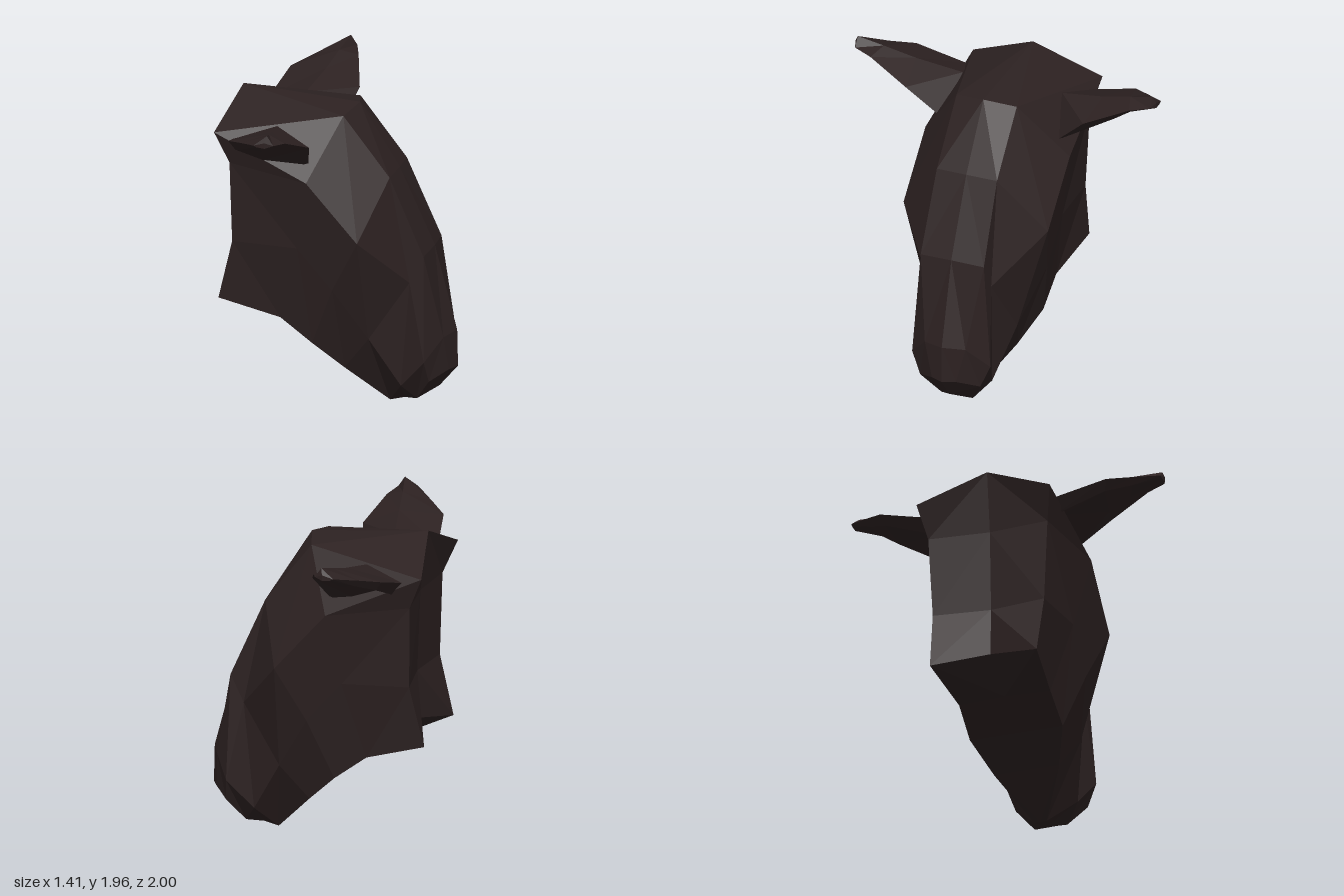
import * as THREE from 'three';

// Skins a grid of sections; side = -1 mirrors it across z = 0.
function loft(sections, side, { closed = false, tip = null } = {}) {
  const pos = [];
  const tri = (a, b, c) => {
    for (const p of side > 0 ? [a, b, c] : [a, c, b]) pos.push(p[0], p[1], p[2] * side);
  };
  const n = sections[0].length;
  const spans = closed ? n : n - 1;
  for (let i = 0; i < sections.length - 1; i++) {
    for (let j = 0; j < spans; j++) {
      const k = (j + 1) % n;
      const a = sections[i][j], b = sections[i + 1][j];
      const c = sections[i + 1][k], d = sections[i][k];
      tri(a, d, c);
      tri(a, c, b);
    }
  }
  // Close the last section with a fan
  if (tip) {
    const last = sections[sections.length - 1];
    for (let j = 0; j < spans; j++) tri(last[j], last[(j + 1) % n], tip);
  }
  const geo = new THREE.BufferGeometry();
  geo.setAttribute('position', new THREE.Float32BufferAttribute(pos, 3));
  geo.computeVertexNormals();
  return geo;
}

export function createModel() {
  const model = new THREE.Group();
  model.name = 'animalHead';
  const hide = new THREE.MeshStandardMaterial({ color: 0x2c2121, flatShading: true, side: THREE.DoubleSide });
  hide.name = 'darkBrownHide';

  // Half sections from the neck to the nose, each from top centre to bottom centre
  const head = [
    [[-0.64, 1.94, 0], [-0.71, 1.76, 0.43], [-0.625, 1.56, 0.385], [-0.615, 1.05, 0.36], [-0.705, 0.675, 0.345], [-0.58, 0.75, 0]],
    [[0.09, 1.885, 0], [0.04, 1.855, 0.2], [-0.12, 1.5, 0.48], [-0.2, 1.05, 0.395], [-0.33, 0.565, 0.295], [-0.33, 0.575, 0]],
    [[0.34, 1.49, 0], [0.33, 1.485, 0.2], [0.2, 1.14, 0.48], [0.02, 0.8, 0.395], [-0.13, 0.42, 0.3], [-0.13, 0.42, 0]],
    [[0.56, 1.01, 0], [0.545, 1.0, 0.21], [0.46, 0.83, 0.22], [0.22, 0.47, 0.285], [0.05, 0.25, 0.21], [0.05, 0.25, 0]],
    [[0.70, 0.48, 0], [0.65, 0.47, 0.135], [0.56, 0.34, 0.26], [0.4, 0.16, 0.2], [0.29, 0.01, 0.04], [0.29, 0.005, 0]],
    [[0.705, 0.25, 0], [0.67, 0.25, 0.08], [0.575, 0.2, 0.2], [0.475, 0.055, 0.105], [0.38, 0.03, 0.03], [0.38, 0.028, 0]],
  ];
  // Back of the neck: its outer edge and its centre line
  const rim = head[0].slice(1, 5);
  const spine = [[-0.64, 1.94, 0], [-0.59, 1.56, 0], [-0.57, 1.05, 0], [-0.58, 0.75, 0]];

  // Ear rings from root to tip: rear, top, front, underside, rear lower edge
  const ear = [
    [[-0.59, 1.725, 0.41], [-0.34, 1.8, 0.33], [-0.13, 1.59, 0.39], [-0.35, 1.72, 0.38], [-0.53, 1.64, 0.4]],
    [[-0.54, 1.82, 0.73], [-0.29, 1.86, 0.62], [-0.07, 1.77, 0.59], [-0.34, 1.70, 0.68], [-0.5, 1.76, 0.71]],
    [[-0.43, 1.86, 0.86], [-0.26, 1.915, 0.82], [-0.15, 1.88, 0.86], [-0.3, 1.79, 0.80], [-0.4, 1.82, 0.85]],
    [[-0.31, 1.90, 1.0], [-0.23, 1.96, 0.98], [-0.19, 1.90, 0.98], [-0.24, 1.885, 1.0], [-0.29, 1.89, 1.0]],
  ];

  for (const [side, label] of [[1, 'left'], [-1, 'right']]) {
    const parts = {
      HeadHalf: loft(head, side, { tip: [0.59, 0.115, 0] }),
      NeckBack: loft([spine, rim], side),
      Ear: loft(ear, side, { closed: true, tip: [-0.24, 1.92, 1.0] }),
    };
    for (const [part, geometry] of Object.entries(parts)) {
      const mesh = new THREE.Mesh(geometry, hide);
      mesh.name = label + part;
      model.add(mesh);
    }
  }
  return model;
}
